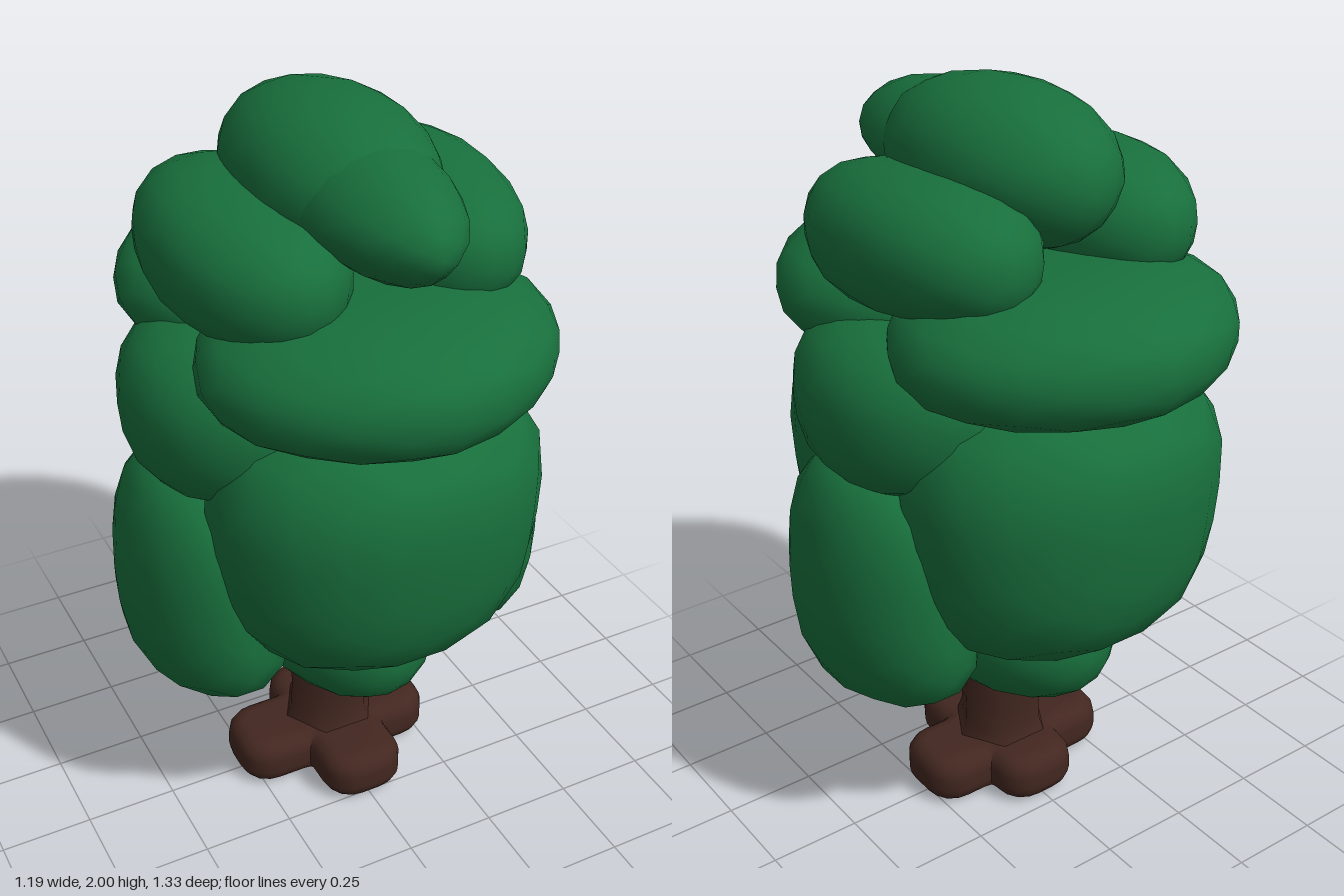
import * as THREE from 'three';
import { mergeVertices } from 'three/addons/utils/BufferGeometryUtils.js';

const leaf = new THREE.MeshStandardMaterial({ color: 0x186f3c });
const bark = new THREE.MeshStandardMaterial({ color: 0x432720 });

// Weld shared corners so that normals run smoothly over the whole surface
function smooth(geo) {
  geo.deleteAttribute('uv');
  geo.deleteAttribute('normal');
  const g = mergeVertices(geo, 1e-4);
  g.computeVertexNormals();
  return g;
}

// Superellipsoid: h squares the plan, v squares the height; warp edits the unit shape
function blob(name, [cx, cy, cz], [rx, ry, rz], h = 2, v = 2, warp) {
  const geo = smooth(new THREE.IcosahedronGeometry(1, 3));
  const pos = geo.attributes.position;
  const p = new THREE.Vector3();
  for (let i = 0; i < pos.count; i++) {
    p.fromBufferAttribute(pos, i);
    const plan = Math.abs(p.x) ** h + Math.abs(p.z) ** h;
    p.multiplyScalar((plan ** (v / h) + Math.abs(p.y) ** v) ** (-1 / v));
    if (warp) warp(p);
    pos.setXYZ(i, cx + p.x * rx, cy + p.y * ry, cz + p.z * rz);
  }
  geo.computeVertexNormals();
  const mesh = new THREE.Mesh(geo, leaf);
  mesh.name = name;
  return mesh;
}

// Four-lobed root foot with rounded edges
function rootFoot() {
  const bevel = 0.05, w = 0.067, r = 0.045, c = w + 0.06;
  const lengths = [0.28, 0.23, 0.3, 0.28]; // +x, back, -x, front
  const shape = new THREE.Shape();
  lengths.forEach((length, i) => {
    const a = i * Math.PI / 2, L = length - bevel;
    const at = (x, y) => [x * Math.cos(a) - y * Math.sin(a), x * Math.sin(a) + y * Math.cos(a)];
    if (i === 0) shape.moveTo(...at(c, -w));
    shape.lineTo(...at(L - r, -w));
    shape.quadraticCurveTo(...at(L, -w), ...at(L, -w + r));
    shape.lineTo(...at(L, w - r));
    shape.quadraticCurveTo(...at(L, w), ...at(L - r, w));
    shape.lineTo(...at(c, w));
    shape.quadraticCurveTo(...at(w, w), ...at(w, c)); // hollow between two lobes
  });
  const geo = new THREE.ExtrudeGeometry(shape, {
    depth: 0.037, bevelSize: bevel, bevelThickness: bevel, bevelSegments: 4, curveSegments: 4,
  });
  geo.rotateX(-Math.PI / 2).translate(0, bevel + 0.003, 0);
  const mesh = new THREE.Mesh(smooth(geo), bark);
  mesh.name = 'rootFoot';
  return mesh;
}

export function createModel() {
  const tree = new THREE.Group();
  tree.name = 'tree';

  // Six-sided trunk flaring into the roots
  const profile = [[0.15, 0.1], [0.133, 0.145], [0.121, 0.18], [0.118, 0.25], [0.118, 0.6]]
    .map(([r, y]) => new THREE.Vector2(r, y));
  const trunk = new THREE.Mesh(new THREE.LatheGeometry(profile, 6, Math.PI / 2), bark);
  trunk.name = 'trunk';
  tree.add(trunk, rootFoot());

  // Underside of the crown
  tree.add(blob('bottomFoliage', [0, 0.56, 0], [0.245, 0.22, 0.4], 2, 2.2));

  // Front and back clumps
  for (const [side, turn] of [['front', 0], ['back', Math.PI]]) {
    const half = new THREE.Group();
    half.name = side + 'Foliage';
    half.rotation.y = turn;
    half.add(
      blob(side + 'LowerClump', [0, 0.975, 0.25], [0.435, 0.365, 0.355], 2, 3.2, (p) => {
        const groove = Math.exp(-((p.x / 0.22) ** 2));
        p.z *= (1 - 0.03 * groove) * (1 + 0.09 * p.y);
        if (p.y > 0) p.y *= 1 - 0.06 * groove;
        p.x *= 1 + 0.06 * p.y;
      }),
      blob(side + 'UpperClump', [0, 1.45, 0.26], [0.455, 0.17, 0.405], 1.8, 2.5, (p) => {
        p.y += 0.06 * (1 - p.x * p.x) * p.z;
      }),
    );
    tree.add(half);
  }

  // Left and right clumps
  for (const [side, s] of [['left', 1], ['right', -1]]) {
    tree.add(
      blob(side + 'LowerClump', [s * 0.385, 0.78, 0], [0.21, 0.335, 0.305], 1.9, 3, (p) => {
        p.z *= 1 - 0.1 * p.y;
        p.x += s * 0.15 * p.y * (1 - s * p.x);
        p.x *= 1 - 0.06 * Math.max(p.y, 0);
      }),
      blob(side + 'MiddleClump', [s * 0.3, 1.255, 0], [0.25, 0.21, 0.33], 1.9, 2.7, (p) => {
        p.z *= 1 + 0.06 * p.y;
      }),
      blob(side + 'UpperClump', [s * 0.235, 1.655, 0], [0.23, 0.17, 0.38], 2, 2.5, (p) => {
        p.y -= 0.12 * p.z * (1 - p.z * p.z);
      }),
    );
  }

  // Crown: round top clump with a pointed lump at its front
  tree.add(
    blob('topFoliage', [0, 1.805, 0], [0.24, 0.195, 0.37], 2, 2.2, (p) => {
      p.x *= 1 + 0.3 * Math.min(p.y, 0);
    }),
    blob('topFrontTip', [0, 1.8, 0.2], [0.19, 0.155, 0.345], 1.8, 1.9, (p) => {
      p.x *= 1 + 0.3 * Math.min(p.y, 0);
    }),
  );

  return tree;
}
